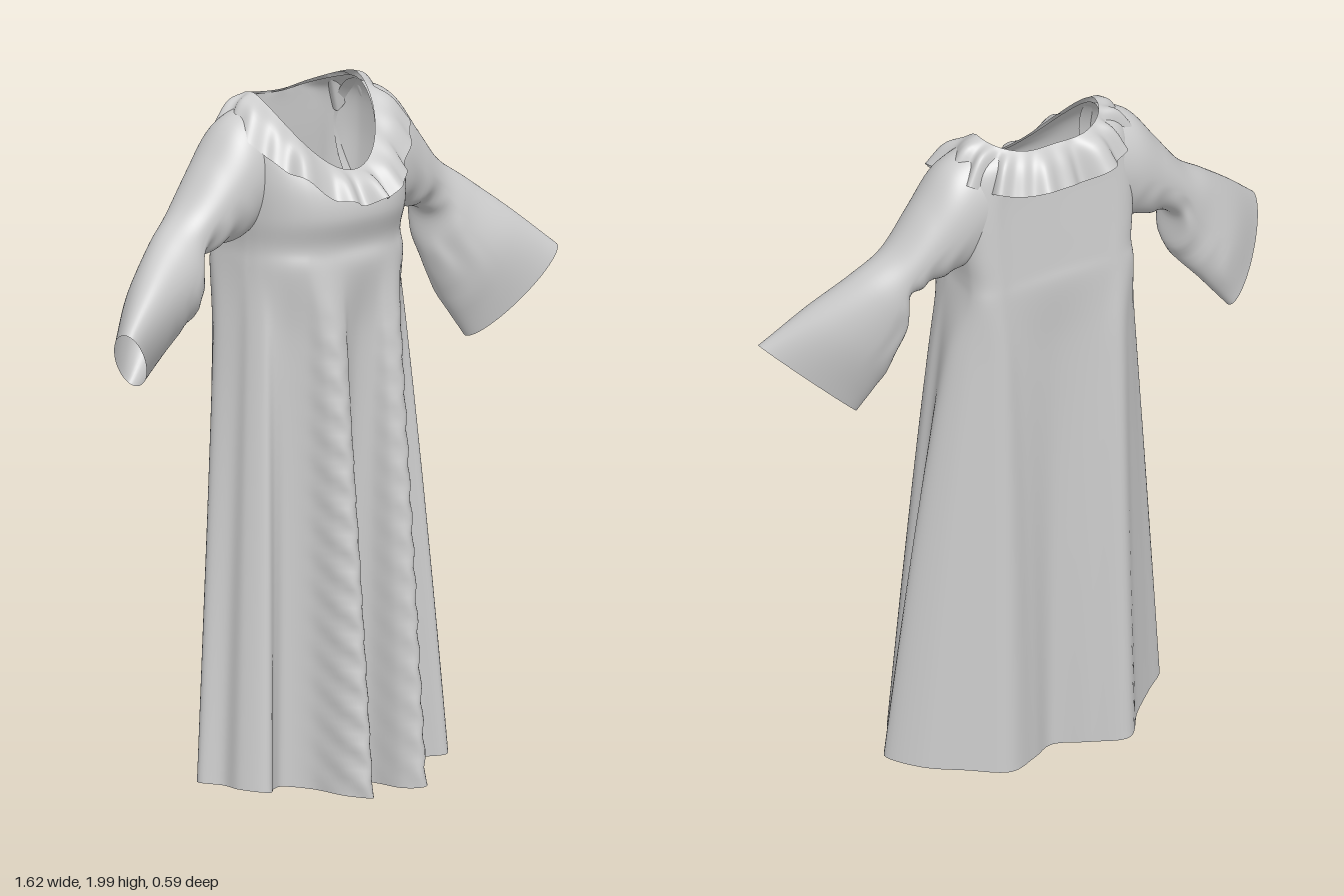
import * as THREE from 'three';

const V = (x, y, z) => new THREE.Vector3(x, y, z);
const { lerp, degToRad } = THREE.MathUtils;
const cloth = new THREE.MeshStandardMaterial({ color: 0xcccccc, roughness: 0.9, side: THREE.DoubleSide });

// Smooth open tube through closed cross-sections that share a point count
function loft(name, rings, nu, nv, crumple) {
  const sampled = rings.map((r) => {
    const c = new THREE.CatmullRomCurve3(r, true, 'catmullrom', 0.5);
    return Array.from({ length: nu }, (_, i) => c.getPoint(i / nu));
  });
  const pos = [], idx = [];
  for (let i = 0; i < nu; i++) {
    const column = new THREE.CatmullRomCurve3(sampled.map((r) => r[i]), false, 'catmullrom', 0.5);
    for (let j = 0; j <= nv; j++) {
      const p = column.getPoint(j / nv);
      if (crumple) crumple(p, i / nu, j / nv);
      pos.push(p.x, p.y, p.z);
    }
  }
  const at = (i, j) => (i % nu) * (nv + 1) + j;
  for (let i = 0; i < nu; i++) {
    for (let j = 0; j < nv; j++) {
      idx.push(at(i, j), at(i + 1, j), at(i, j + 1));
      idx.push(at(i + 1, j), at(i + 1, j + 1), at(i, j + 1));
    }
  }
  const g = new THREE.BufferGeometry();
  g.setAttribute('position', new THREE.Float32BufferAttribute(pos, 3));
  g.setIndex(idx);
  g.computeVertexNormals();
  const mesh = new THREE.Mesh(g, cloth);
  mesh.name = name;
  return mesh;
}

// Point on a body section: half width, z and y at front/side/back, and the
// squareness of front and back. The back keeps a shallow centre valley.
function section(a, { rx, z, y, e = [0.85, 0.42] }) {
  const s = Math.sin(a), c = Math.cos(a), k = Math.abs(c);
  const end = c > 0 ? 0 : 2, power = c > 0 ? e[0] : e[1];
  const valley = c > 0 ? 0 : 0.02 * k ** 14;
  return V(
    rx * Math.sign(s) * Math.abs(s) ** power,
    lerp(y[1], y[end], k ** 1.5),
    lerp(z[1], z[end], k ** power) + valley
  );
}

// Pleated hem, front to back: x, z, angle of the same column at the waist
const hemFront = [
  [0, 0.09, 0], [0.045, 0.14, 8], [0.06, 0.25, 16], [0.10, 0.30, 24], [0.14, 0.25, 32],
  [0.165, 0.13, 39], [0.22, 0.07, 50], [0.275, 0.09, 61], [0.335, 0.135, 71], [0.385, 0.07, 79],
  [0.385, 0, 86],
];
const hemLeft = [
  ...hemFront, [0.48, -0.06, 96], [0.42, -0.16, 111], [0.31, -0.225, 131],
  [0.20, -0.28, 150], [0.09, -0.23, 167], [0, -0.18, 180],
];
const hemRight = [
  ...hemFront.slice(1), [0.425, -0.06, 96], [0.35, -0.125, 111], [0.265, -0.20, 131],
  [0.185, -0.29, 150], [0.09, -0.24, 167],
];
const hem = [
  ...hemLeft,
  ...hemRight.reverse().map(([x, z, a]) => [-x, z, -a]),
].map(([x, z, a]) => ({ x, z, a: degToRad(a) }));

const waist = { rx: 0.27, z: [0.165, -0.085, -0.237], y: [1.5, 1.5, 1.5] };
const hemOutline = { rx: 0.455, z: [0.29, -0.06, -0.285], y: [0, 0, 0] };
const neck = { rx: 0.192, z: [0.12, -0.09, -0.205], y: [1.77, 1.975, 1.945], e: [1, 0.95] };
const bodice = [
  waist,
  { rx: 0.264, z: [0.156, -0.085, -0.231], y: [1.57, 1.57, 1.57] },
  { rx: 0.272, z: [0.178, -0.085, -0.224], y: [1.65, 1.66, 1.67] },
  { rx: 0.275, z: [0.168, -0.09, -0.214], y: [1.715, 1.80, 1.81], e: [0.85, 0.45] },
  { rx: 0.255, z: [0.14, -0.09, -0.209], y: [1.75, 1.92, 1.905], e: [0.85, 0.6] },
  neck,
];

// Skirt and bodice in one surface; pleats deepen quickly below the waist
function makeBody() {
  const rings = [];
  for (let k = 0; k < 9; k++) {
    const t = 1 - k / 9, flare = t ** 0.8, fold = t ** 0.65;
    rings.push(hem.map((h) => {
      const top = section(h.a, waist), out = section(h.a, hemOutline);
      return V(
        lerp(top.x, out.x, flare) + (h.x - out.x) * fold,
        lerp(top.y, 0.005 + 0.11 * Math.abs(h.x), t),
        lerp(top.z, out.z, flare) + (h.z - out.z) * fold
      );
    }));
  }
  for (const b of bodice) rings.push(hem.map((h) => section(h.a, b)));
  // Puckers along the front pleats
  const crumple = (p) => {
    const pleat = Math.exp(-(((Math.abs(p.x) - 0.11) / 0.035) ** 2));
    const span = p.z > 0.05 && p.y < 1.45 ? Math.min(1, (1.45 - p.y) * 6) : 0;
    p.x += 0.005 * pleat * span * Math.sin(p.y * 70 + p.z * 45);
  };
  return loft('gownBody', rings, hem.length * 7, 90, crumple);
}

// Bell sleeve: top and bottom edge points of each section, plus half depth
function makeSleeve(side) {
  const left = side > 0;
  const cuff = left ? [0.55, 1.18, -0.02] : [0.61, 1.21, -0.12];
  const flare = left ? [0.476, 1.31, -0.05] : [0.53, 1.31, -0.11];
  const edges = [
    [[0.20, 1.965, -0.09], [0.235, 1.61, -0.08], 0.115],
    [[0.30, 1.92, -0.09], [0.28, 1.59, -0.08], 0.115],
    [[0.38, 1.82, -0.09], [0.36, 1.575, -0.08], 0.10],
    [[0.47, 1.705, -0.085], [0.435, 1.545, -0.08], 0.085],
    [[0.57, 1.63, -0.06], [0.437, 1.43, -0.07], 0.095],
    [[0.69, 1.53, 0.0], flare, 0.095],
    [[0.81, 1.42, 0.065], cuff, 0.065],
  ];
  const rings = edges.map(([top, bottom, depth]) => {
    const a = V(...top), b = V(...bottom);
    const mid = a.clone().add(b).multiplyScalar(0.5), half = a.sub(mid);
    return Array.from({ length: 16 }, (_, i) => {
      const t = (i / 16) * Math.PI * 2;
      const p = mid.clone().addScaledVector(half, Math.cos(t));
      p.z += side * depth * Math.sin(t);
      p.x *= side;
      return p;
    });
  });
  // Crumpled cloth on the inner side of the elbow
  const crumple = (p, u, v) => {
    const inner = Math.max(0, -Math.cos(u * Math.PI * 2)) * Math.sin(v * Math.PI) ** 2;
    p.z += 0.012 * inner * Math.sin(p.x * 75 + 2 * Math.sin(p.y * 22));
  };
  return loft(left ? 'leftSleeve' : 'rightSleeve', rings, 80, 44, crumple);
}

// Gathered collar with uneven ripples that grow toward its free edge
function makeRuffle() {
  const bands = [
    [{ rx: 0.285, z: [0.215, -0.07, -0.28], y: [1.695, 1.89, 1.845], e: [1, 0.95] }, 0.015],
    [{ rx: 0.242, z: [0.17, -0.08, -0.245], y: [1.745, 1.965, 1.91], e: [1, 0.95] }, 0.009],
    [{ ...neck, y: [1.775, 1.99, 1.95] }, 0],
  ];
  const n = 160;
  const rings = bands.map(([band, amp]) => Array.from({ length: n }, (_, i) => {
    const a = (i / n) * Math.PI * 2;
    const wave = Math.sin(13 * a + 1.8 * Math.sin(3 * a + 0.5)) + 0.7 * Math.sin(7 * a + 1) + 0.4 * Math.sin(22 * a);
    const p = section(a, band);
    return p.add(V(Math.sin(a) * 0.8, 0.6, Math.cos(a)).multiplyScalar(amp * wave));
  }));
  return loft('collarRuffle', rings, n * 2, 12);
}

export function createModel() {
  const gown = new THREE.Group();
  gown.name = 'gown';
  gown.add(makeBody(), makeSleeve(1), makeSleeve(-1), makeRuffle());
  return gown;
}
